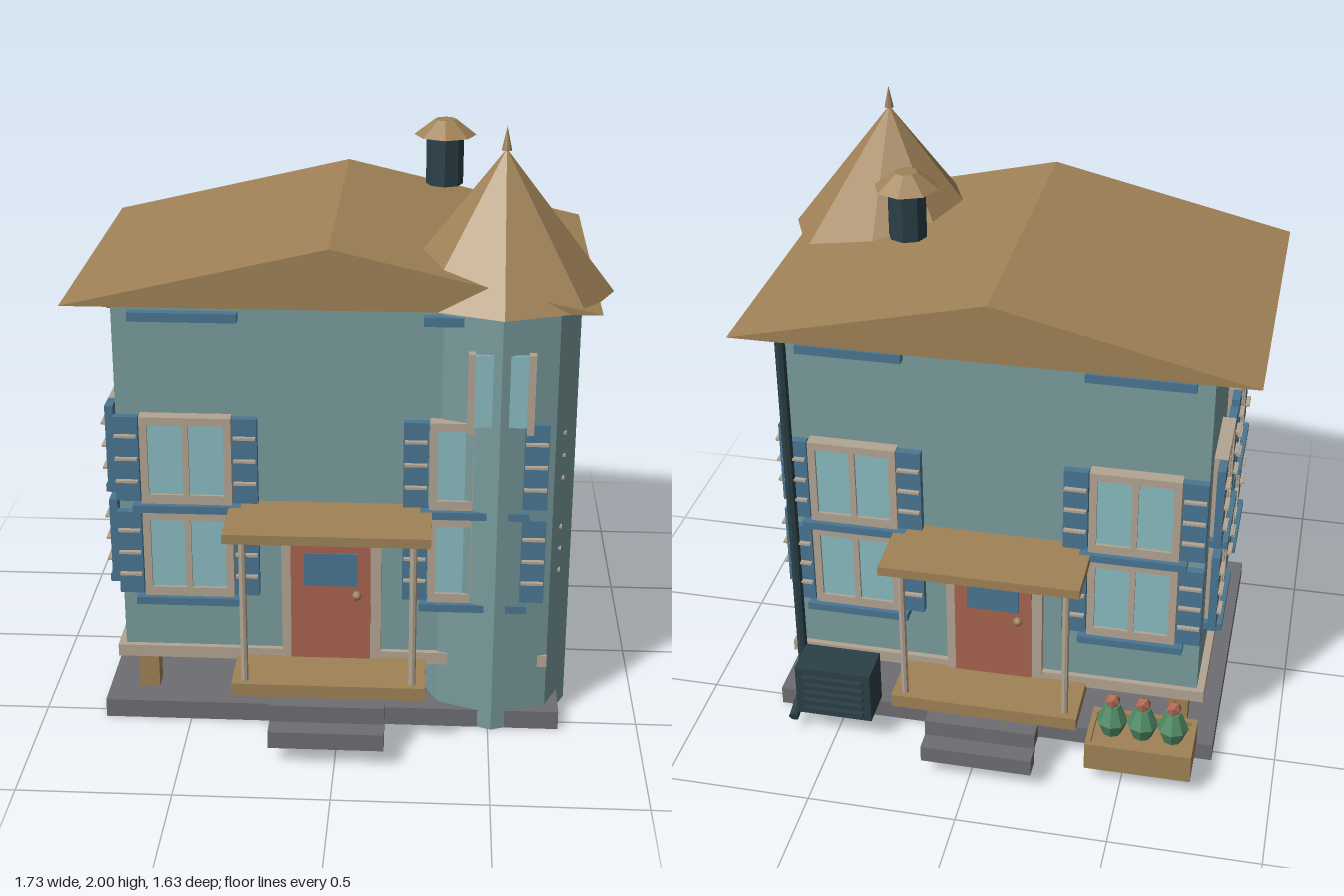
import * as THREE from 'three';

const mat = (name, color) => {
  const m = new THREE.MeshStandardMaterial({ color });
  m.name = name;
  return m;
};

export function createModel() {
  const M = {
    wood: mat('wood brown', 0xa08257),
    wall: mat('wall teal', 0x7a9c9d),
    stone: mat('stone grey', 0x6e6e73),
    blue: mat('shutter blue', 0x4a7692),
    glass: mat('window glass', 0x8abcc1),
    cream: mat('trim cream', 0xb3a592),
    red: mat('door red', 0xa9634f),
    slate: mat('dark slate', 0x2b4047),
    green: mat('leaf green', 0x4f8a63),
  };
  const root = new THREE.Group();
  root.name = 'house';
  const CX = -0.027; // middle of the house in x

  const add = (parent, name, geo, material, x = 0, y = 0, z = 0) => {
    const mesh = new THREE.Mesh(geo, material);
    mesh.name = name;
    mesh.position.set(x, y, z);
    parent.add(mesh);
    return mesh;
  };
  // Box given by its extents
  const box = (parent, name, material, x0, x1, y0, y1, z0, z1) =>
    add(parent, name, new THREE.BoxGeometry(x1 - x0, y1 - y0, z1 - z0), material,
      (x0 + x1) / 2, (y0 + y1) / 2, (z0 + z1) / 2);
  // Faceted round part from y0 to y1
  const round = (parent, name, material, rTop, rBottom, y0, y1, x, z, n = 8) => {
    const geo = new THREE.CylinderGeometry(rTop, rBottom, y1 - y0, n).toNonIndexed();
    geo.computeVertexNormals();
    return add(parent, name, geo, material, x, (y0 + y1) / 2, z);
  };
  const group = (name, parent = root) => {
    const g = new THREE.Group();
    g.name = name;
    parent.add(g);
    return g;
  };

  // Foundation slab, corner piers, floor trim and walls
  box(root, 'foundation', M.stone, CX - 0.762, CX + 0.762, 0, 0.065, -0.545, 0.545);
  for (const sx of [-1, 1]) for (const sz of [-1, 1]) {
    const x = CX + sx * 0.628, z = sz * 0.415;
    box(root, 'pier', M.wood, x - 0.035, x + 0.035, 0.02, 0.22, z - 0.032, z + 0.032);
  }
  box(root, 'floorTrim', M.cream, CX - 0.718, CX + 0.718, 0.213, 0.255, -0.506, 0.506);
  box(root, 'walls', M.wall, CX - 0.693, CX + 0.693, 0.25, 1.478, -0.487, 0.487);

  // Gabled roof
  const gable = new THREE.Shape([
    new THREE.Vector2(-0.838, 1.475), new THREE.Vector2(0.838, 1.475), new THREE.Vector2(0, 1.67),
  ]);
  add(root, 'mainRoof', new THREE.ExtrudeGeometry(gable, { depth: 1.15, bevelEnabled: false }),
    M.wood, CX, 0, -0.575);

  // Corner turret with pointed roof and finial
  const turret = group('turret');
  turret.position.set(0.51, 0, 0.33);
  round(turret, 'turretWall', M.wall, 0.255, 0.255, 0.001, 1.478, 0, 0).scale.z = 0.91;
  round(turret, 'turretRoof', M.wood, 0, 0.353, 1.475, 1.93, 0, 0).scale.z = 0.91;
  round(turret, 'finial', M.wood, 0, 0.016, 1.925, 2, 0, 0);
  for (const s of [-1, 1]) {
    box(turret, 'turretWindowPost', M.cream, s * 0.094 - 0.011, s * 0.094 + 0.011, 1.075, 1.34, 0.215, 0.247);
  }
  box(turret, 'turretWindowGlass', M.glass, -0.085, 0.085, 1.09, 1.33, 0.214, 0.222);

  // Chimney flue and its cap
  round(root, 'chimney', M.slate, 0.063, 0.063, 1.69, 1.862, 0.32, -0.172);
  round(root, 'chimneyCap', M.wood, 0.037, 0.105, 1.858, 1.91, 0.32, -0.172);

  // Shuttered window on a facade; local z = 0 is the wall plane, s scales widths
  const addWindow = (parent, x, y, s) => {
    const w = group('window', parent);
    w.position.set(x, y, 0);
    w.scale.x = s;
    for (const d of [-1, 1]) {
      box(w, 'frameSide', M.cream, d * 0.135 - 0.0125, d * 0.135 + 0.0125, 0, 0.305, 0, 0.045);
      const c = d * 0.191;
      box(w, 'shutter', M.blue, c - 0.04, c + 0.04, 0.012, 0.305, 0.018, 0.045);
      for (const h of [0.085, 0.163, 0.242]) {
        box(w, 'shutterSlat', M.cream, c - 0.036, c + 0.036, h - 0.004, h + 0.004, 0.045, 0.06);
      }
    }
    box(w, 'frameTop', M.cream, -0.135, 0.135, 0.278, 0.305, 0, 0.045);
    box(w, 'frameBottom', M.cream, -0.135, 0.135, 0, 0.036, 0, 0.045);
    box(w, 'mullion', M.cream, -0.01, 0.01, 0.03, 0.28, 0, 0.045);
    box(w, 'glass', M.glass, -0.125, 0.125, 0.03, 0.28, 0.027, 0.035);
    box(w, 'sill', M.blue, -0.175, 0.175, -0.022, 0.004, 0, 0.062);
  };

  // Door with porch, canopy and steps
  const addPorch = (parent) => {
    const p = group('porch', parent);
    p.position.z = -0.487;
    box(p, 'doorFrame', M.cream, -0.163, 0.165, 0.23, 0.74, 0.48, 0.512);
    box(p, 'door', M.red, -0.132, 0.13, 0.235, 0.706, 0.5, 0.52);
    box(p, 'doorWindow', M.blue, -0.088, 0.088, 0.505, 0.622, 0.52, 0.526);
    add(p, 'doorKnob', new THREE.SphereGeometry(0.016, 8, 6), M.wood, 0.086, 0.475, 0.532);
    box(p, 'porchFloor', M.wood, -0.315, 0.317, 0.185, 0.231, 0.48, 0.7);
    box(p, 'porchRoof', M.wood, -0.328, 0.328, 0.758, 0.79, 0.48, 0.748);
    for (const s of [-1, 1]) round(p, 'porchPost', M.cream, 0.012, 0.012, 0.23, 0.76, s * 0.273, 0.67);
    box(p, 'upperStep', M.stone, -0.187, 0.187, 0.124, 0.183, 0.685, 0.75);
    box(p, 'lowerStep', M.stone, -0.187, 0.187, 0.065, 0.124, 0.748, 0.815);
  };

  // Four facades: turn, wall distance, width scale, window offset
  const facades = [
    ['frontFacade', 0, 0.487, 1, 0.465],
    ['leftFacade', Math.PI / 2, 0.693, 0.91, 0.231],
    ['backFacade', Math.PI, 0.487, 1, 0.465],
    ['rightFacade', -Math.PI / 2, 0.693, 0.91, 0.231],
  ];
  for (const [name, turn, dist, s, off] of facades) {
    const f = group(name);
    f.position.set(CX + Math.sin(turn) * dist, 0, Math.cos(turn) * dist);
    f.rotation.y = turn;
    for (const d of [-1, 1]) {
      addWindow(f, d * off, 0.787, s);
      addWindow(f, d * off, 0.455, s);
      box(f, 'eaveStrip', M.blue, d * off - 0.173 * s, d * off + 0.173 * s, 1.408, 1.438, 0, 0.03);
    }
    if (s === 1) addPorch(f);
  }

  // Drainpipe with angled outlet
  round(root, 'drainpipe', M.slate, 0.018, 0.018, 0.085, 1.476, 0.648, -0.54);
  const outlet = round(root, 'drainOutlet', M.slate, 0.018, 0.018, -0.072, 0.072, 0.648, 0);
  outlet.position.set(0.648, 0.078, -0.61);
  outlet.rotation.x = -Math.PI / 2 - 0.27;

  // Cooling unit with louvres
  const unit = group('coolingUnit');
  box(unit, 'unitCase', M.slate, 0.365, 0.628, 0.095, 0.285, -0.69, -0.555);
  for (let i = 0; i < 5; i++) {
    const y = 0.125 + i * 0.032;
    box(unit, 'louvre', M.slate, 0.39, 0.6, y - 0.006, y + 0.006, -0.705, -0.685);
  }

  // Planter with three flowering shrubs
  const planter = group('planter');
  box(planter, 'planterSoil', M.wood, -0.72, -0.395, 0.065, 0.15, -0.725, -0.56);
  for (const z of [-0.732, -0.553]) box(planter, 'planterLongSide', M.wood, -0.735, -0.38, 0.065, 0.167, z - 0.009, z + 0.009);
  for (const x of [-0.726, -0.389]) box(planter, 'planterShortSide', M.wood, x - 0.009, x + 0.009, 0.065, 0.167, -0.74, -0.545);
  for (const x of [-0.66, -0.558, -0.456]) {
    round(planter, 'shrubBase', M.green, 0.053, 0.032, 0.145, 0.2, x, -0.635);
    round(planter, 'shrubTop', M.green, 0.026, 0.053, 0.2, 0.262, x, -0.635);
    add(planter, 'flower', new THREE.IcosahedronGeometry(0.028, 0), M.red, x, 0.278, -0.635);
  }

  return root;
}
